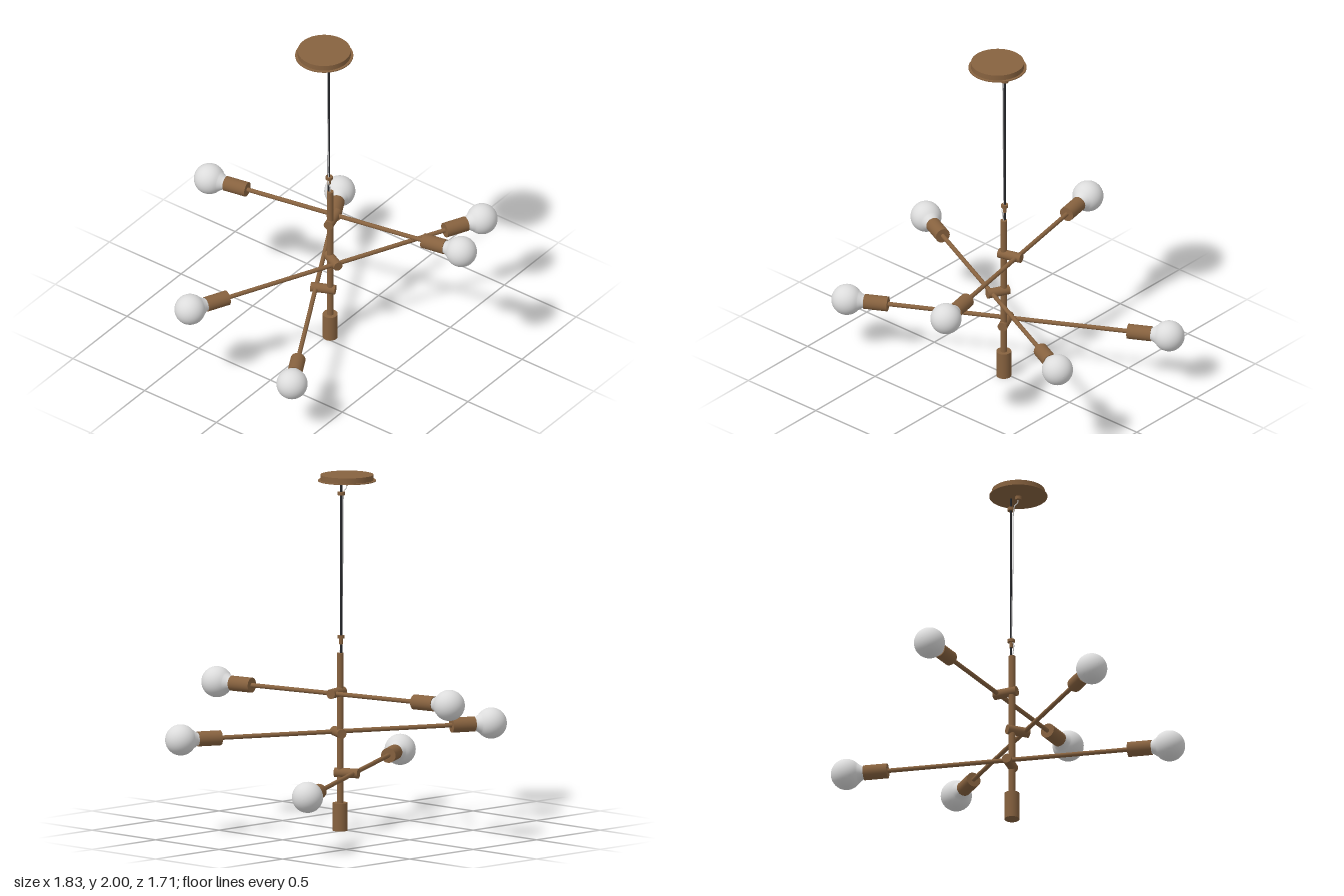
import * as THREE from 'three';

const material = (name, color, side = THREE.FrontSide) => {
  const m = new THREE.MeshStandardMaterial({ color, side });
  m.name = name;
  return m;
};

export function createModel() {
  const group = new THREE.Group();
  const bronze = material('bronze', 0x87623f);
  const glass = material('frosted glass', 0xdcdcdc, THREE.DoubleSide);
  const black = material('black cable', 0x25262a);
  const pale = material('pale cord', 0xd0d0d0);
  const UP = new THREE.Vector3(0, 1, 0);
  const V = (x, y, z) => new THREE.Vector3(x, y, z);

  const add = (name, geometry, mat, parent = group) => {
    const mesh = new THREE.Mesh(geometry, mat);
    mesh.name = name;
    parent.add(mesh);
    return mesh;
  };
  // Cylinder between two points
  const rod = (name, a, b, r, mat = bronze, sides = 32) => {
    const mesh = add(name, new THREE.CylinderGeometry(r, r, a.distanceTo(b), sides), mat);
    mesh.position.copy(a).lerp(b, 0.5);
    mesh.quaternion.setFromUnitVectors(UP, b.clone().sub(a).normalize());
    return mesh;
  };
  const cord = (name, points, r, mat) =>
    add(name, new THREE.TubeGeometry(new THREE.CatmullRomCurve3(points), 40, r, 8), mat);

  const SX = 0.03, SZ = 0.017;

  // Ceiling canopy with thin flange
  rod('canopy', V(-0.02, 1.967, 0.013), V(-0.02, 2, 0.013), 0.148, bronze, 64);
  rod('canopyFlange', V(-0.02, 1.964, 0.013), V(-0.02, 1.969, 0.013), 0.162, bronze, 64);
  rod('canopyStub', V(-0.02, 1.944, 0.013), V(-0.02, 1.966, 0.013), 0.018);

  // Hanging cables and their clamps
  rod('cable', V(SX, 1.0, 0.008), V(SX, 1.966, 0.008), 0.0065, black, 12);
  cord('supplyCord', [V(-0.02, 1.95, 0.013), V(-0.015, 1.925, 0.012), V(0.008, 1.91, 0.01),
    V(0.014, 1.86, 0.009), V(0.016, 1.6, 0.009), V(0.023, 1.25, 0.009), V(0.024, 1.1, 0.01),
    V(0.016, 1.07, 0.016), V(0.024, 1.03, 0.02), V(SX, 0.99, SZ)], 0.003, pale);
  rod('upperClamp', V(SX, 1.89, 0.008), V(SX, 1.908, 0.008), 0.02);
  rod('lowerClamp', V(SX, 1.083, 0.01), V(SX, 1.1, 0.01), 0.02);
  rod('clampNeck', V(SX, 1.05, 0.01), V(SX, 1.083, 0.01), 0.01);

  // Central stem and bottom weight
  rod('stem', V(SX, 0.15, SZ), V(SX, 1.0, SZ), 0.0185);
  rod('bottomWeight', V(SX, 0, SZ), V(SX, 0.157, SZ), 0.042);

  // Bulb profile: neck blending into a globe, along +y with the globe at the origin
  const R = 0.087;
  const profile = [[0, -0.105], [0.036, -0.105], [0.037, -0.095], [0.043, -0.085], [0.053, -0.07]];
  for (let i = 0; i <= 20; i++) {
    const a = -0.85 + (i / 20) * (Math.PI / 2 + 0.85);
    profile.push([Math.max(0, R * Math.cos(a)), R * Math.sin(a)]);
  }
  const bulbGeometry = new THREE.LatheGeometry(profile.map(([x, y]) => new THREE.Vector2(x, y)), 40);

  // Three arms, each offset beside the stem on a cross connector
  const arms = [
    [0.782, V(-0.04, 0, -0.772), V(0.255, 0, 0.762)],
    [0.547, V(-0.833, 0, -0.31), V(0.828, 0, 0.474)],
    [0.326, V(-0.81, 0, 0.384), V(0.802, 0, -0.498)],
  ];
  for (const [y, a, b] of arms) {
    a.y = b.y = y;
    const mid = a.clone().lerp(b, 0.5);
    const hub = V(SX, y, SZ);
    const across = mid.clone().sub(hub).normalize();
    rod('armConnector', hub.clone().addScaledVector(across, -0.03),
      mid.clone().addScaledVector(across, 0.028), 0.027);
    const dir = b.clone().sub(a).normalize();
    rod('arm', a.clone().addScaledVector(dir, 0.2), b.clone().addScaledVector(dir, -0.2), 0.0125, bronze, 20);
    for (const [end, out] of [[a, dir.clone().negate()], [b, dir]]) {
      rod('socket', end.clone().addScaledVector(out, -0.235), end.clone().addScaledVector(out, -0.1), 0.042);
      const bulb = add('bulb', bulbGeometry, glass);
      bulb.position.copy(end);
      bulb.quaternion.setFromUnitVectors(UP, out);
    }
  }
  return group;
}
